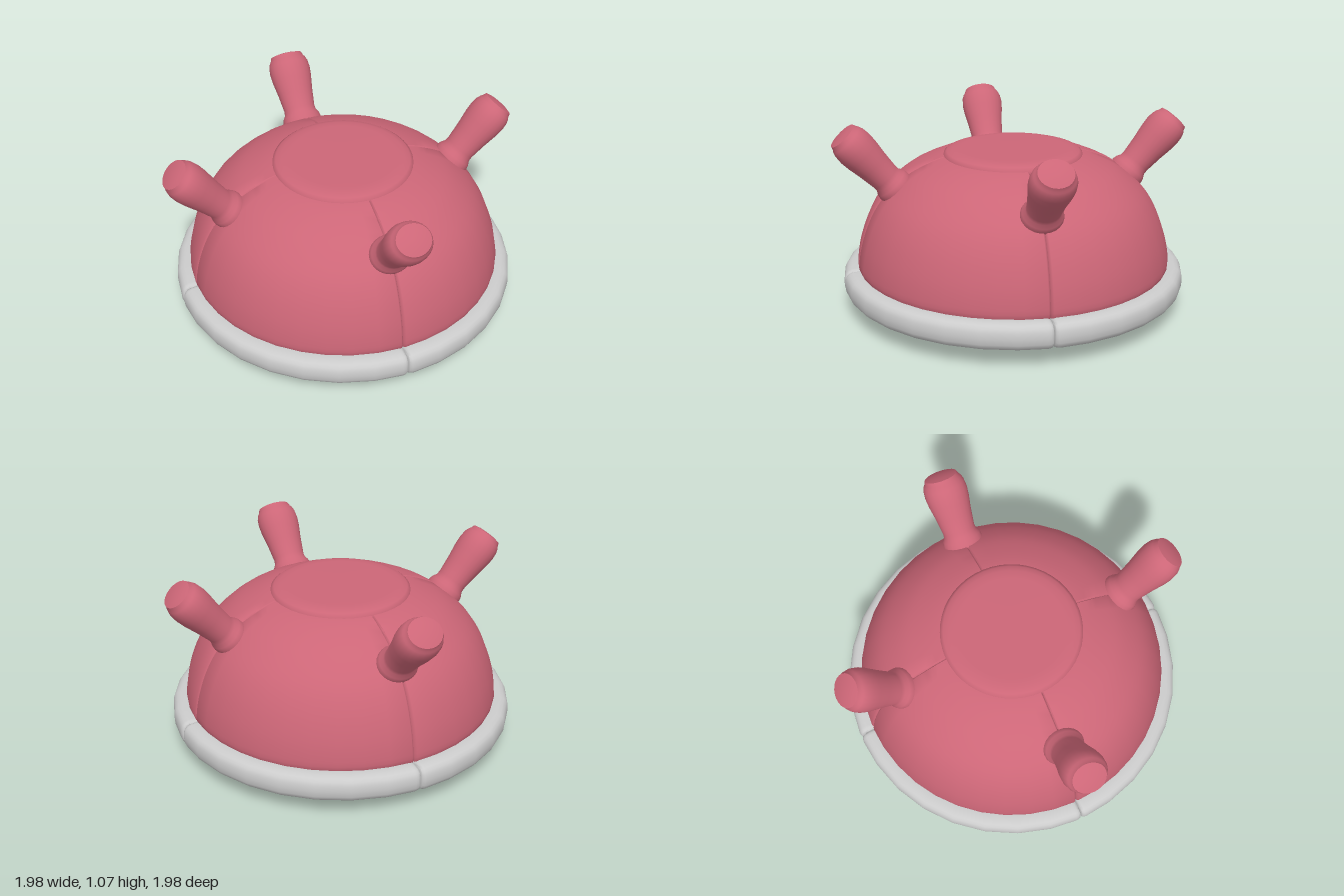
import * as THREE from 'three';
import { toCreasedNormals } from 'three/addons/utils/BufferGeometryUtils.js';

const pink = new THREE.MeshStandardMaterial({ color: 0xcc6677 });
const grey = new THREE.MeshStandardMaterial({ color: 0xcccccc });

const points = (list) => list.map(([r, y]) => new THREE.Vector2(r, y));
const smooth = (list, n) => new THREE.SplineCurve(points(list)).getPoints(n);

function addMesh(parent, name, geometry, material) {
  const mesh = new THREE.Mesh(geometry, material);
  mesh.name = name;
  parent.add(mesh);
  return mesh;
}

// Turns a profile through the given columns [angle, scale about centre]
function sweep(profile, centre, columns) {
  const positions = [], index = [], n = profile.length;
  for (const [angle, scale] of columns) {
    for (const p of profile) {
      const q = p.clone().sub(centre).multiplyScalar(scale).add(centre);
      positions.push(q.x * Math.sin(angle), q.y, q.x * Math.cos(angle));
    }
  }
  for (let c = 0; c < columns.length - 1; c++) {
    for (let i = 0; i < n - 1; i++) {
      const a = c * n + i, b = a + n;
      index.push(a, b, a + 1, b + 1, a + 1, b);
    }
  }
  const geometry = new THREE.BufferGeometry();
  geometry.setAttribute('position', new THREE.Float32BufferAttribute(positions, 3));
  geometry.setIndex(index);
  geometry.computeVertexNormals();
  return toCreasedNormals(geometry, 0.75);
}

// Quarter turn whose ends follow a list of [angle, scale] steps, mirrored at the far end
function quarterColumns(ends, divisions) {
  const quarter = Math.PI / 2;
  const middle = [];
  for (let i = 1; i < divisions; i++) middle.push([quarter * i / divisions, 1]);
  const far = ends.map(([a, s]) => [quarter - a, s]).reverse();
  return [...ends, ...middle, ...far];
}

export function createModel() {
  const model = new THREE.Group();
  model.name = 'knobbedDome';

  // Dome shell panels, dipping into a groove at each seam
  const shell = smooth([[0.865, 0.24], [0.871, 0.28], [0.85, 0.4], [0.80, 0.54],
    [0.725, 0.66], [0.61, 0.765], [0.5, 0.825], [0.39, 0.864], [0.3, 0.875]], 28);
  const shellColumns = quarterColumns([[0, 0.982], [0.006, 0.994], [0.016, 1]], 10);

  // Rounded rim section
  const rim = [];
  for (let i = 0; i <= 20; i++) {
    const t = i / 20 * Math.PI * 2, c = Math.cos(t), s = Math.sin(t);
    const soft = (v) => Math.sign(v) * Math.abs(v) ** 0.72;
    rim.push(new THREE.Vector2(0.876 + 0.077 * soft(c), 0.173 + 0.074 * soft(s)));
  }
  const rimColumns = quarterColumns(
    [[0.002, 0], [0.002, 0.8], [0.007, 0.92], [0.02, 0.985], [0.035, 1]], 8);

  // Knob profile: flange, neck, swelling grip and bevelled tip
  const knobProfile = points([[0, -0.08], [0.1, -0.08], [0.112, -0.03], [0.114, 0],
    [0.108, 0.022], [0.094, 0.045], [0.092, 0.07], [0.104, 0.17], [0.117, 0.25],
    [0.121, 0.3], [0.117, 0.34], [0.107, 0.366], [0.1, 0.374], [0.092, 0.395],
    [0.06, 0.402], [0, 0.405]]);
  const knobGeometry = toCreasedNormals(new THREE.LatheGeometry(knobProfile, 24), 0.7);

  for (let i = 0; i < 4; i++) {
    const side = new THREE.Group();
    side.name = 'quarter' + (i + 1);
    side.rotation.y = i * Math.PI / 2;
    addMesh(side, 'domePanel', sweep(shell, new THREE.Vector2(0, 0.25), shellColumns), pink);
    addMesh(side, 'rimSegment', sweep(rim, new THREE.Vector2(0.876, 0.173), rimColumns), grey);
    const knob = addMesh(side, 'knob', knobGeometry, pink);
    knob.position.set(0, 0.722, 0.664);
    knob.rotation.x = 0.735;
    knob.scale.z = 0.9;
    model.add(side);
  }

  // Raised round cap on the top
  const cap = points([[0.385, 0.845], [0.382, 0.872], [0.365, 0.885], [0.335, 0.894],
    [0.29, 0.898], [0, 0.9]]);
  addMesh(model, 'topCap', new THREE.LatheGeometry(cap, 48), pink);

  // Shallow bowl underneath
  const belly = smooth([[0, 0], [0.28, 0.004], [0.55, 0.025], [0.72, 0.058],
    [0.83, 0.1], [0.865, 0.14]], 20);
  addMesh(model, 'underside', new THREE.LatheGeometry(belly, 48), pink);

  return model;
}
